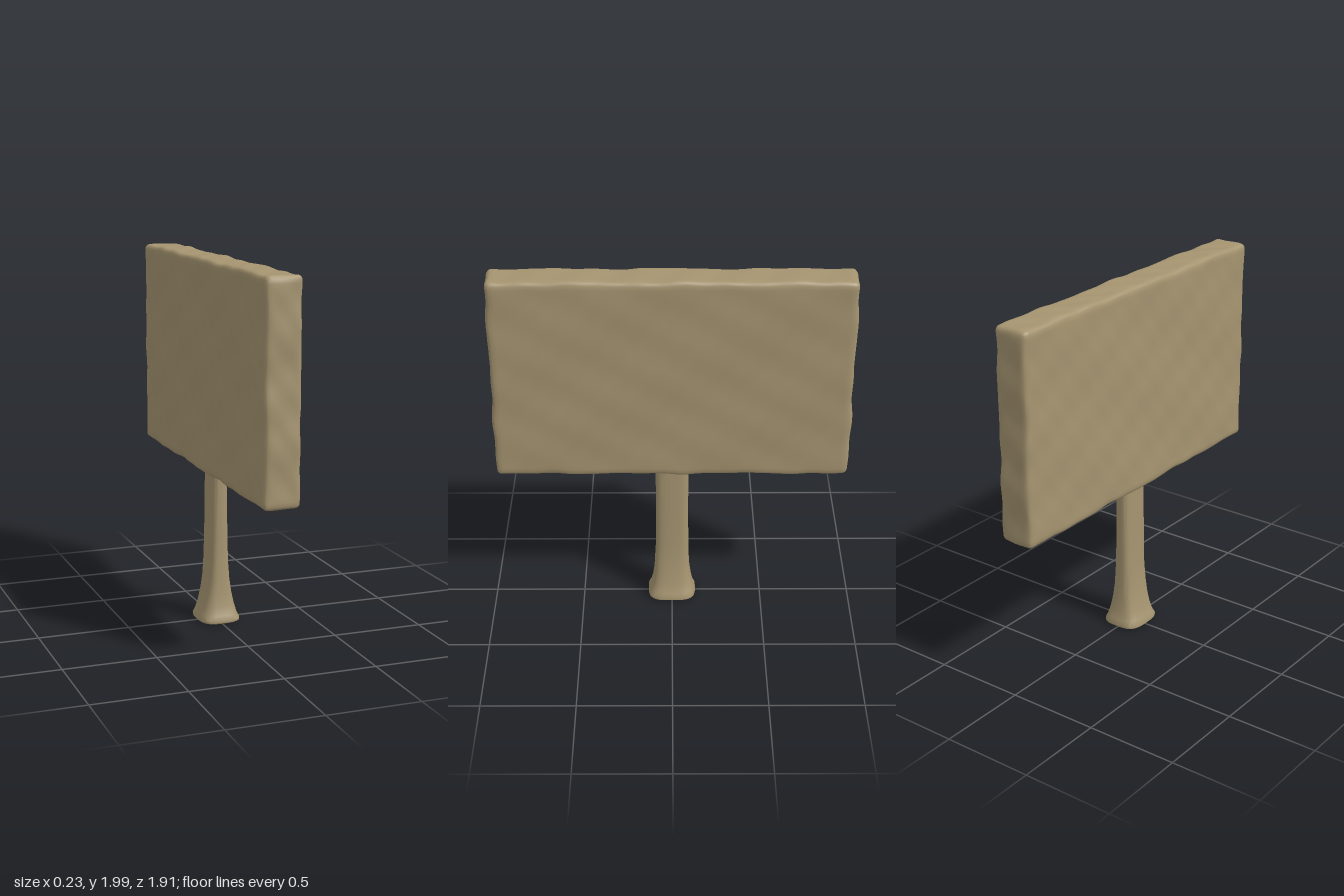
import * as THREE from 'three';
import { mergeVertices, toCreasedNormals } from 'three/addons/utils/BufferGeometryUtils.js';

const material = new THREE.MeshStandardMaterial({ color: 0xa59470 });

// Smooth, repeatable hand-hewn unevenness
const wobble = (a, b, s) =>
  0.5 * Math.sin(11 * a + 7 * b + s) + 0.3 * Math.sin(23 * a - 13 * b + 2 * s) + 0.2 * Math.sin(41 * b + 31 * a + 3 * s);

// Slab with worn, rounded edges and slightly uneven faces
function createBoard() {
  const half = new THREE.Vector3(0.097, 0.573, 0.949);
  const radius = 0.028;
  let geometry = new THREE.BoxGeometry(half.x * 2, half.y * 2, half.z * 2, 12, 56, 90);
  geometry.deleteAttribute('uv');
  geometry.deleteAttribute('normal');
  geometry = mergeVertices(geometry);
  const inner = half.clone().subScalar(radius);
  const low = inner.clone().negate();
  const pos = geometry.attributes.position;
  const p = new THREE.Vector3();
  const core = new THREE.Vector3();
  for (let i = 0; i < pos.count; i++) {
    p.fromBufferAttribute(pos, i);
    core.copy(p).clamp(low, inner);
    p.sub(core).setLength(radius).add(core);
    const { x, y, z } = p;
    p.x += 0.004 * wobble(y, z, 1) * Math.sign(x);
    p.y += 0.006 * wobble(z, x, 2) * (y / half.y);
    p.z += 0.007 * wobble(y, x, 4) * (z / half.z);
    pos.setXYZ(i, p.x, p.y, p.z);
  }
  geometry.computeVertexNormals();
  const board = new THREE.Mesh(geometry, material);
  board.name = 'board';
  board.position.set(0.005, 1.42, 0);
  return board;
}

// Squared post lofted through rows of [height, half width x, half width z]
function createPost() {
  const rows = [
    [0.9, 0.043, 0.09], [0.7, 0.046, 0.089], [0.5, 0.05, 0.09], [0.35, 0.054, 0.091],
    [0.25, 0.06, 0.094], [0.17, 0.072, 0.099], [0.1, 0.087, 0.109], [0.05, 0.103, 0.121],
    [0.025, 0.116, 0.133], [0.013, 0.115, 0.131], [0.005, 0.1, 0.118],
  ];
  const last = rows.length - 1;
  const geometry = new THREE.CylinderGeometry(1, 1, 1, 32, last);
  const square = (v) => Math.sign(v) * Math.abs(v) ** 0.6;
  const pos = geometry.attributes.position;
  for (let i = 0; i < pos.count; i++) {
    const [y, hx, hz] = rows[Math.round((0.5 - pos.getY(i)) * last)];
    const x = square(pos.getX(i)) * hx;
    const z = square(pos.getZ(i)) * hz;
    const scale = 1 + 0.02 * wobble(y, z, 5);
    pos.setXYZ(i, x * scale + 0.003, y, z * scale);
  }
  const post = new THREE.Mesh(toCreasedNormals(geometry, 0.7), material);
  post.name = 'post';
  return post;
}

export function createModel() {
  const group = new THREE.Group();
  group.name = 'signpost';
  group.add(createBoard(), createPost());
  return group;
}
